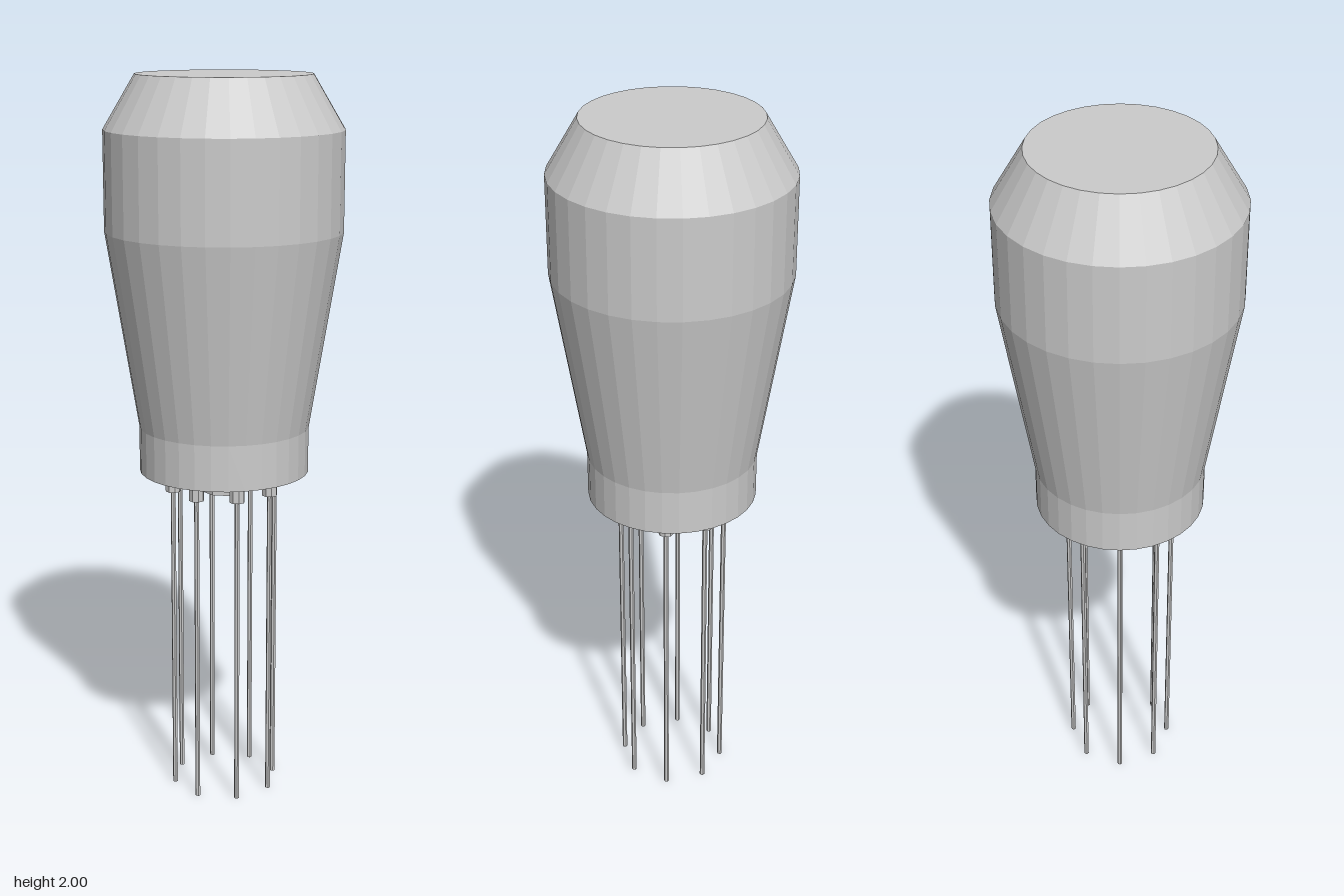
import * as THREE from 'three';

export function createModel() {
  const model = new THREE.Group();
  const material = new THREE.MeshStandardMaterial({ color: 0xcccccc, flatShading: true });

  function add(parent, name, geometry, x = 0, y = 0, z = 0) {
    const mesh = new THREE.Mesh(geometry, material);
    mesh.name = name;
    mesh.position.set(x, y, z);
    parent.add(mesh);
  }

  // Closed faceted solid turned from [radius, height] pairs, bottom to top
  const turned = (profile, sides) =>
    new THREE.LatheGeometry(profile.map(([r, y]) => new THREE.Vector2(r, y)), sides);

  // Bulb-shaped can with a straight neck and a bevelled flat top
  add(model, 'body', turned([
    [0, 0.93], [0.233, 0.93], [0.233, 1.055], [0.32, 1.59],
    [0.32, 1.857], [0.235, 2], [0, 2],
  ], 32), 0, 0, 0);

  // Stepped boss in the middle of the base
  add(model, 'centreBoss', turned([
    [0, 0.868], [0.063, 0.868], [0.063, 0.89], [0.095, 0.89], [0.095, 0.93], [0, 0.93],
  ], 8));

  // Ring of eight wire leads, each held by a short collar
  const collar = new THREE.CylinderGeometry(0.021, 0.021, 0.055, 8);
  const wire = new THREE.CylinderGeometry(0.007, 0.007, 0.88, 6);
  for (let i = 0; i < 8; i++) {
    const angle = (i * Math.PI) / 4;
    const lead = new THREE.Group();
    lead.name = 'lead' + (i + 1);
    lead.position.set(0.145 * Math.sin(angle), 0, 0.145 * Math.cos(angle));
    add(lead, 'collar', collar, 0, 0.9025, 0);
    add(lead, 'wire', wire, 0, 0.44, 0);
    model.add(lead);
  }
  return model;
}
